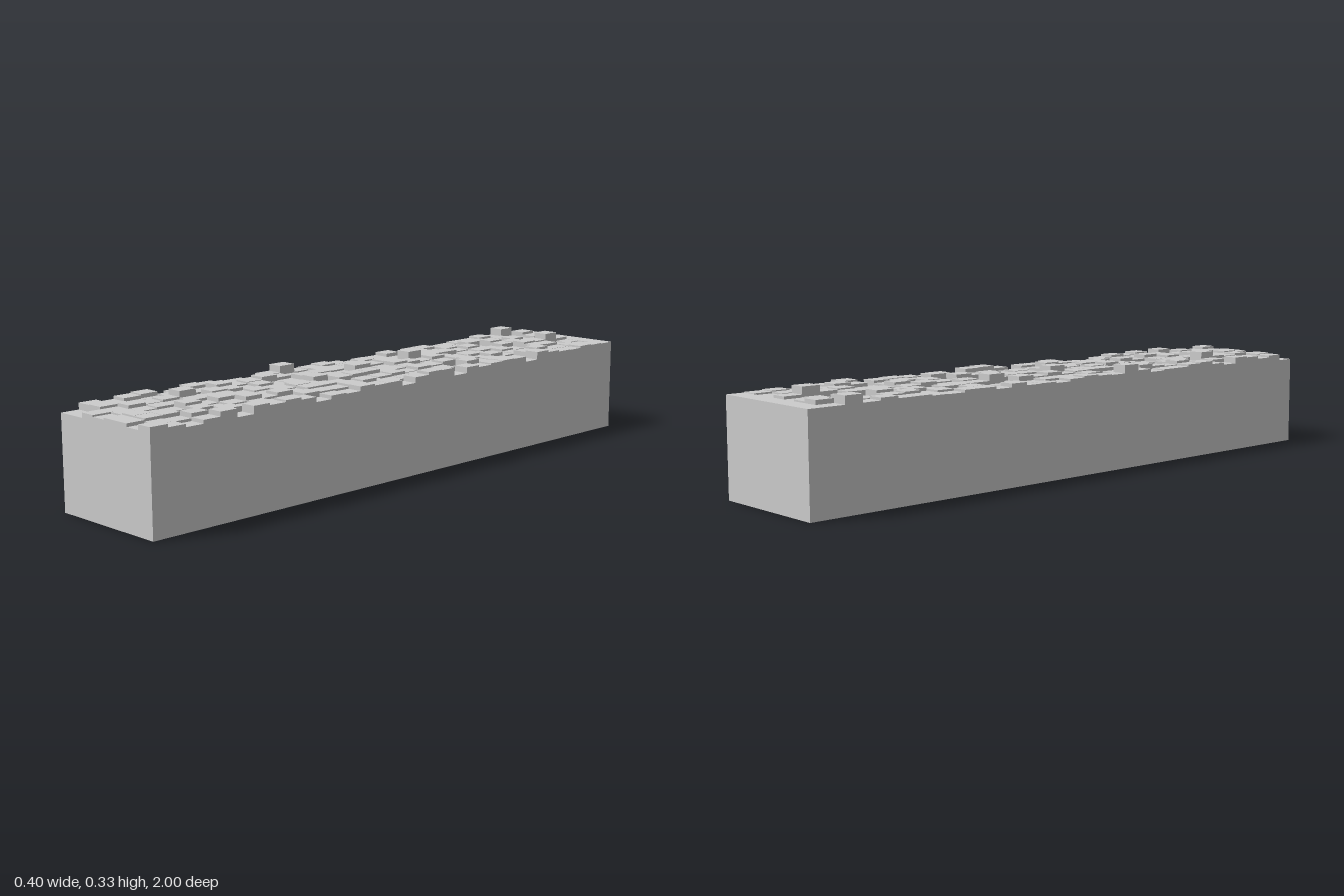
import * as THREE from 'three';

const COLS = 8, ROWS = 34, WIDTH = 0.4, LENGTH = 2;
const DX = WIDTH / COLS, DZ = LENGTH / ROWS;

// Small seeded generator
function seeded(seed) {
  return () => {
    seed = (seed * 1664525 + 1013904223) % 4294967296;
    return seed / 4294967296;
  };
}

// Height of every cobble; row 0 is at the front, column 0 at -x
function cobbleHeights() {
  const rand = seeded(7);
  const h = [];
  for (let r = 0; r < ROWS; r++) {
    h.push([]);
    for (let c = 0; c < COLS; c++) h[r].push(0.288 + 0.028 * (rand() + rand()) / 2);
  }
  // Even end rows
  h[0] = [0.285, 0.285, 0.3, 0.295, 0.3, 0.3, 0.29, 0.305];
  h[ROWS - 1].fill(0.3);
  // Sunken cobbles along the +x edge
  for (const r of [2, 5, 10, 16, 20, 26]) h[r][COLS - 1] = 0.287;
  // Proud cobbles: row, column, height
  for (const [r, c, y] of [[5, 2, 0.325], [13, 0, 0.325], [16, 3, 0.323], [21, 2, 0.325], [31, 4, 0.33], [31, 0, 0.325]]) h[r][c] = y;
  return h;
}

// One closed skin: cobble tops, the steps between them, outer walls and underside
function pavedBlockGeometry() {
  const h = cobbleHeights();
  const pos = [];
  const quad = (a, b, c, d) => pos.push(...a, ...b, ...c, ...a, ...c, ...d);
  const heightAt = (r, c) => h[r]?.[c] ?? 0;
  const wall = (lo, hi, ax, az, bx, bz) => {
    if (hi > lo) quad([ax, lo, az], [bx, lo, bz], [bx, hi, bz], [ax, hi, az]);
  };
  for (let r = 0; r < ROWS; r++) {
    for (let c = 0; c < COLS; c++) {
      const x0 = -WIDTH / 2 + c * DX, x1 = x0 + DX;
      const z1 = LENGTH / 2 - r * DZ, z0 = z1 - DZ;
      const y = h[r][c];
      quad([x0, y, z1], [x1, y, z1], [x1, y, z0], [x0, y, z0]);
      wall(heightAt(r, c + 1), y, x1, z1, x1, z0);
      wall(heightAt(r, c - 1), y, x0, z0, x0, z1);
      wall(heightAt(r + 1, c), y, x1, z0, x0, z0);
      wall(heightAt(r - 1, c), y, x0, z1, x1, z1);
    }
  }
  const X = WIDTH / 2, Z = LENGTH / 2;
  quad([-X, 0, -Z], [X, 0, -Z], [X, 0, Z], [-X, 0, Z]);
  const geo = new THREE.BufferGeometry();
  geo.setAttribute('position', new THREE.Float32BufferAttribute(pos, 3));
  geo.computeVertexNormals();
  return geo;
}

export function createModel() {
  const group = new THREE.Group();
  group.name = 'cobbledBlock';
  const material = new THREE.MeshStandardMaterial({ color: 0xcccccc, flatShading: true });
  const block = new THREE.Mesh(pavedBlockGeometry(), material);
  block.name = 'cobbledSurfaceBlock';
  group.add(block);
  return group;
}
